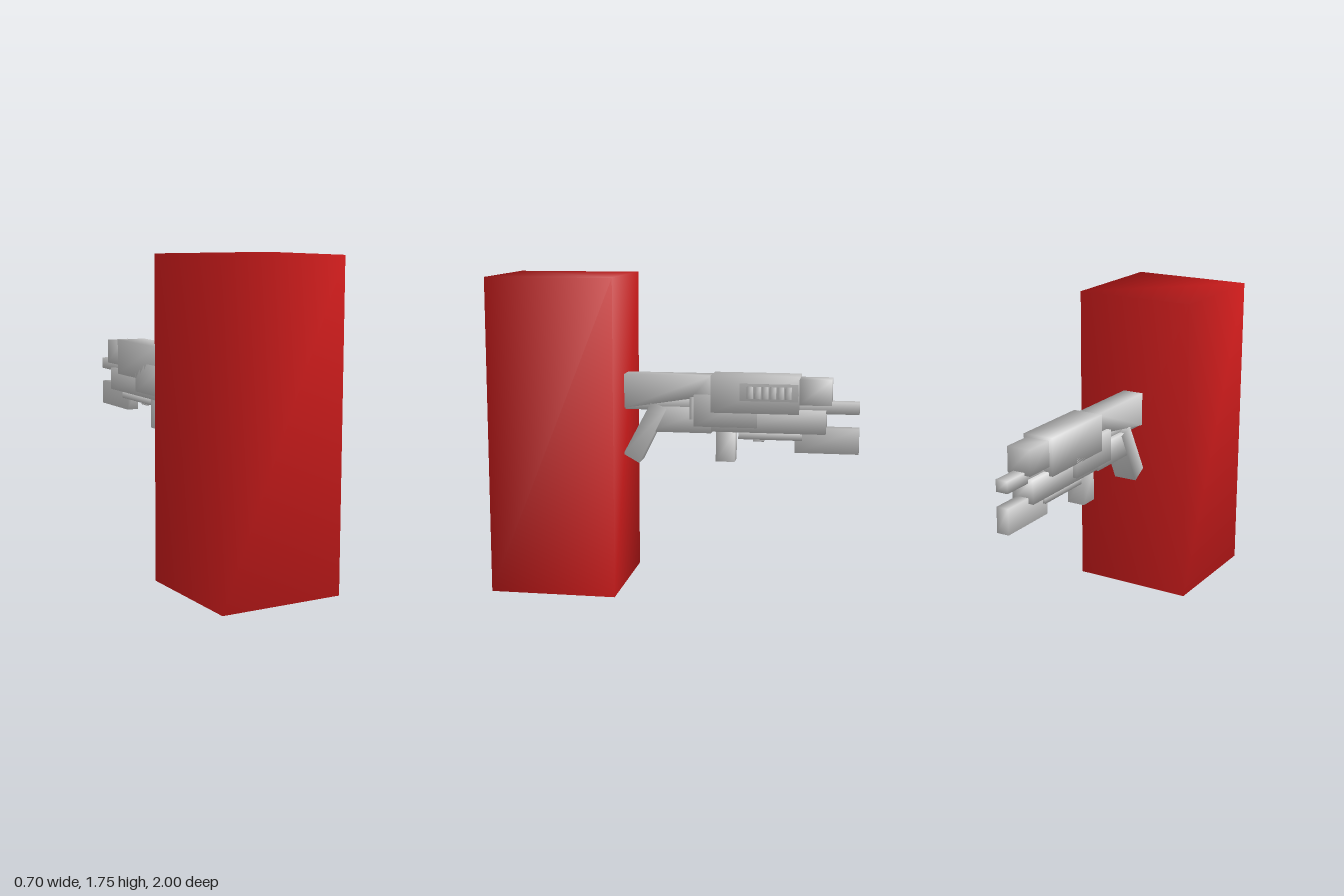
import * as THREE from 'three';
import { mergeVertices } from 'three/addons/utils/BufferGeometryUtils.js';

const grey = new THREE.MeshStandardMaterial({ color: 0xcccccc });
const red = new THREE.MeshStandardMaterial({ color: 0xd01c1c });

// Share corner vertices so shading blends across the edges
function soften(geometry) {
  geometry.deleteAttribute('normal');
  geometry.deleteAttribute('uv');
  const merged = mergeVertices(geometry, 1e-4);
  merged.computeVertexNormals();
  return merged;
}

export function createModel() {
  const model = new THREE.Group();
  const blaster = new THREE.Group();
  blaster.name = 'blaster';
  model.add(blaster);

  function add(name, geometry, parent = blaster, material = grey) {
    const mesh = new THREE.Mesh(soften(geometry), material);
    mesh.name = name;
    parent.add(mesh);
    return mesh;
  }

  // Box from its extents on each axis
  function block(name, [x0, x1], [y0, y1], [z0, z1], parent, material) {
    const mesh = add(name, new THREE.BoxGeometry(x1 - x0, y1 - y0, z1 - z0), parent, material);
    mesh.position.set((x0 + x1) / 2, (y0 + y1) / 2, (z0 + z1) / 2);
    return mesh;
  }

  // Side profile of [z, y] points, extruded across x
  function profile(name, points, halfWidth) {
    const shape = new THREE.Shape(points.map(([z, y]) => new THREE.Vector2(-z, y)));
    const geometry = new THREE.ExtrudeGeometry(shape, { depth: halfWidth * 2, bevelEnabled: false });
    geometry.translate(0, 0, -halfWidth).rotateY(Math.PI / 2);
    return add(name, geometry);
  }

  // Tall body
  block('body', [-0.35, 0.35], [0, 1.745], [0.3, 1], model, red);

  // Stock with sloping underside, and raked grip
  profile('stock', [[0.3, 1.01], [-0.07, 1.07], [-0.19, 1.07], [-0.19, 1.2], [0.3, 1.2]], 0.06);
  profile('grip', [[0.305, 0.75], [0.215, 0.7], [0.06, 1.01], [0.15, 1.04]], 0.068);

  // Main housings and barrels: name, half width, y range, z range
  const parts = [
    ['upperHousing', 0.0875, [1.0, 1.205], [-0.675, -0.19]],
    ['muzzleShroud', 0.068, [1.05, 1.19], [-0.85, -0.67]],
    ['barrel', 0.035, [1.0, 1.065], [-1, 0.3]],
    ['sidePlate', 0.0875, [0.92, 1.095], [-0.445, -0.095]],
    ['rearCollar', 0.07, [0.955, 1.08], [-0.1, -0.07]],
    ['lowerReceiver', 0.064, [0.88, 1.02], [-0.19, 0.16]],
    ['foreEnd', 0.064, [0.89, 1.02], [-0.82, -0.19]],
    ['lowerBarrel', 0.035, [0.78, 0.92], [-1, -0.65]],
    ['foregrip', 0.05, [0.72, 0.89], [-0.32, -0.215]],
    ['underPlate', 0.05, [0.85, 0.89], [-0.69, -0.34]],
    ['underStud', 0.028, [0.835, 0.85], [-0.48, -0.42]],
  ];
  for (const [name, half, y, z] of parts) block(name, [-half, half], y, z);

  // Ribbed rail on the left side
  block('sideRail', [0.08, 0.094], [1.07, 1.165], [-0.67, -0.35]);
  for (let i = 0; i < 6; i++) {
    const z = -0.408 - i * 0.042;
    block('railRib', [0.085, 0.112], [1.085, 1.15], [z - 0.017, z + 0.017]);
  }

  return model;
}
